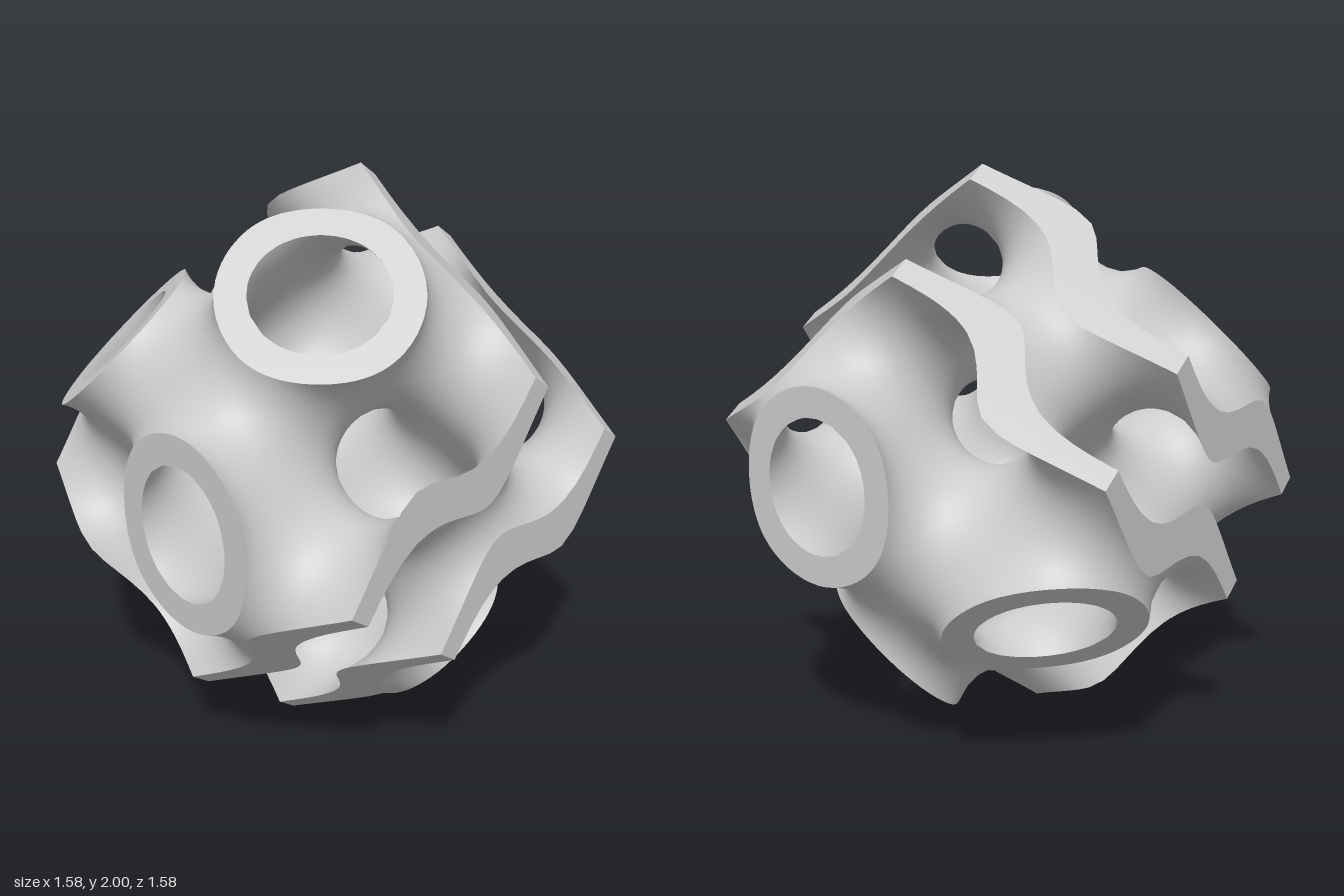
import * as THREE from 'three';

// A thick gyroid sheet cut to a rhombic dodecahedron.
const CELL = 1.1155;           // length of one gyroid period
const N = 26;                  // grid steps per period (even)
const WALL = 0.4;              // the sheet is where |gyroid| < WALL
const CENTRE = new THREE.Vector3(0, 1, 0);
const K = (2 * Math.PI) / CELL, Q = Math.PI / 4, R = Math.SQRT1_2;

// Gyroid field; its cubic axes are turned 45 degrees about y.
function gyroid(p) {
  const a = (p.z + p.x) * R * K + Q;
  const b = (p.z - p.x) * R * K + Q;
  const c = (p.y - 1) * K - Q;
  return Math.cos(a) * Math.cos(b) + Math.sin(a) * Math.cos(c) - Math.sin(b) * Math.sin(c);
}

function gradient(p) {
  const e = 1e-4, g = new THREE.Vector3();
  for (const axis of ['x', 'y', 'z']) {
    const q = p.clone();
    q[axis] += e;
    const high = gyroid(q);
    q[axis] -= 2 * e;
    g[axis] = high - gyroid(q);
  }
  return g.normalize();
}

// Point on the edge p-q where the field equals the level.
function crossing(p, q, level) {
  let lo = 0, hi = 1;
  const below = p.f < level, m = new THREE.Vector3();
  for (let i = 0; i < 14; i++) {
    const t = (lo + hi) / 2;
    if ((gyroid(m.lerpVectors(p, q, t)) < level) === below) lo = t;
    else hi = t;
  }
  m.f = level;
  return m;
}

// Collects convex polygons as triangles turned towards a given direction.
class Skin {
  positions = [];
  normals = [];
  add(poly, facing, normalAt) {
    for (let i = 1; i + 1 < poly.length; i++) {
      let tri = [poly[0], poly[i], poly[i + 1]];
      const n = tri[1].clone().sub(tri[0]).cross(tri[2].clone().sub(tri[0]));
      if (n.lengthSq() < 1e-18) continue;
      if (n.dot(facing) < 0) {
        tri = [tri[0], tri[2], tri[1]];
        n.negate();
      }
      n.normalize();
      for (const p of tri) {
        this.positions.push(p.x, p.y, p.z);
        const v = normalAt ? normalAt(p) : n;
        this.normals.push(v.x, v.y, v.z);
      }
    }
  }
  mesh(name, material) {
    const g = new THREE.BufferGeometry();
    g.setAttribute('position', new THREE.Float32BufferAttribute(this.positions, 3));
    g.setAttribute('normal', new THREE.Float32BufferAttribute(this.normals, 3));
    const m = new THREE.Mesh(g, material);
    m.name = name;
    return m;
  }
}

// Part of a tetrahedron's level surface: a triangle or a quad.
function sliceTet(tet, level, skin) {
  const low = tet.filter(p => p.f < level), high = tet.filter(p => p.f >= level);
  if (!low.length || !high.length) return;
  const cut = (p, q) => crossing(p, q, level);
  const poly = low.length === 2
    ? [cut(low[0], high[0]), cut(low[0], high[1]), cut(low[1], high[1]), cut(low[1], high[0])]
    : low.length === 1 ? high.map(q => cut(low[0], q)) : low.map(q => cut(q, high[0]));
  const side = Math.sign(level);
  const mid = poly.reduce((s, p) => s.add(p), new THREE.Vector3()).divideScalar(poly.length);
  skin.add(poly, gradient(mid).multiplyScalar(side), p => gradient(p).multiplyScalar(side));
}

// Keeps the part of a polygon on one side of a level.
function clip(poly, level, keep) {
  const out = [];
  poly.forEach((p, i) => {
    const q = poly[(i + 1) % poly.length];
    const inP = keep(p.f), inQ = keep(q.f);
    if (inP) out.push(p);
    if (inP !== inQ && p.f !== level && q.f !== level) out.push(crossing(p, q, level));
  });
  return out;
}

// Grid points in cubic axes, with the field value stored on each.
const points = new Map();
function gridPoint(g) {
  const key = g.join();
  if (!points.has(key)) {
    const h = CELL / N;
    const p = new THREE.Vector3((g[0] - g[1]) * R * h, g[2] * h + 1, (g[0] + g[1]) * R * h);
    p.f = gyroid(p);
    p.g = g;
    points.set(key, p);
  }
  return points.get(key);
}

const PAIRS = [[0, 1], [1, 2], [0, 2]];
const ORDERS = [[0, 1, 2], [0, 2, 1], [1, 0, 2], [1, 2, 0], [2, 0, 1], [2, 1, 0]];
const inside = g => PAIRS.every(([a, b]) => Math.abs(g[a]) + Math.abs(g[b]) <= N);

// Three corners of a tetrahedron that lie on one face of the dodecahedron.
function boundaryTriangle(tet) {
  for (const [a, b] of PAIRS)
    for (const s of [1, -1])
      for (const t of [1, -1]) {
        const on = tet.filter(p => s * p.g[a] + t * p.g[b] === N);
        if (on.length === 3) return on;
      }
  return null;
}

export function createModel() {
  const outer = new Skin(), inner = new Skin(), rims = new Skin();

  // Mirrored tetrahedra around odd grid points fit the dodecahedron exactly.
  for (let i = 1 - N; i < N; i += 2)
    for (let j = 1 - N; j < N; j += 2)
      for (let k = 1 - N; k < N; k += 2) {
        if (!inside([i, j, k])) continue;
        for (let signs = 0; signs < 8; signs++)
          for (const order of ORDERS) {
            const g = [i, j, k], corners = [[...g]];
            for (const axis of order) {
              g[axis] += (signs >> axis) & 1 ? 1 : -1;
              corners.push([...g]);
            }
            if (!corners.every(inside)) continue;
            const tet = corners.map(gridPoint);
            sliceTet(tet, WALL, outer);
            sliceTet(tet, -WALL, inner);

            // Flat cut of the wall on the dodecahedron's faces
            const face = boundaryTriangle(tet);
            if (!face) continue;
            const band = clip(clip(face, WALL, f => f <= WALL), -WALL, f => f >= -WALL);
            if (band.length > 2) rims.add(band, band[0].clone().sub(CENTRE));
          }
      }

  const material = new THREE.MeshStandardMaterial({ color: 0xcccccc });
  const group = new THREE.Group();
  group.name = 'gyroidDodecahedron';
  group.add(
    outer.mesh('firstWallSurface', material),
    inner.mesh('secondWallSurface', material),
    rims.mesh('cutRims', material)
  );
  return group;
}
